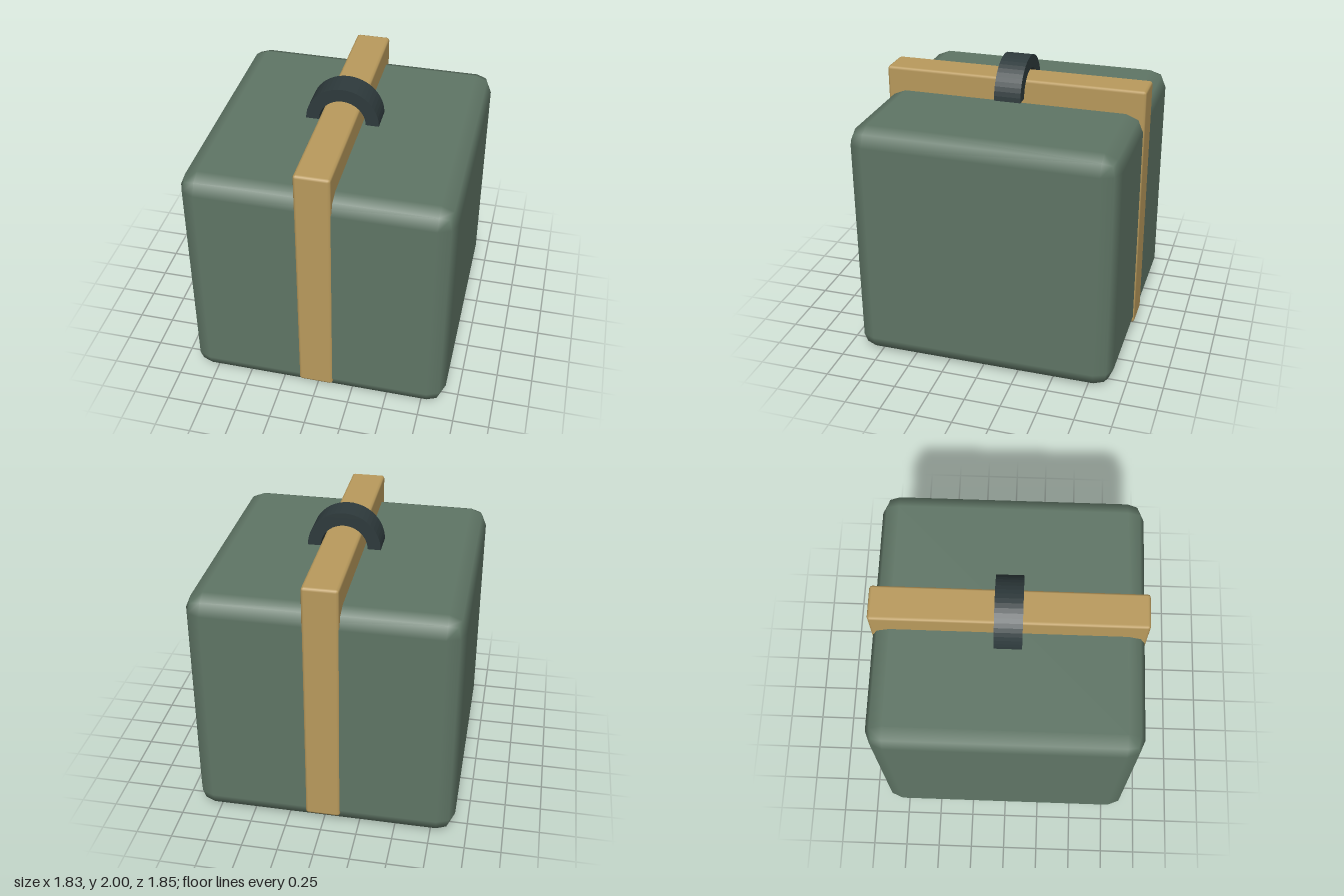
import * as THREE from 'three';
import { RoundedBoxGeometry } from 'three/addons/geometries/RoundedBoxGeometry.js';

export function createModel() {
  const model = new THREE.Group();
  model.name = 'strappedCrate';

  const add = (name, geometry, color, y) => {
    const mesh = new THREE.Mesh(geometry, new THREE.MeshStandardMaterial({ color }));
    mesh.name = name;
    mesh.position.y = y;
    model.add(mesh);
  };

  // Body: cube with coarse rounded edges
  add('body', new RoundedBoxGeometry(1.825, 1.7, 1.825, 1, 0.12), 0x5f7565, 0.85);

  // Strap: upright slab through the body, standing proud at front, back and top
  add('strap', new RoundedBoxGeometry(0.244, 1.798, 1.846, 1, 0.02), 0xb99a5c, 0.968);

  // Handle: flat-sided half ring arching over the strap
  const arch = new THREE.Shape();
  arch.absarc(0, 0, 0.253, 0, Math.PI, false);
  arch.absarc(0, 0, 0.162, Math.PI, 0, true);
  arch.closePath();
  const width = 0.186;
  const handle = new THREE.ExtrudeGeometry(arch, { depth: width, bevelEnabled: false, curveSegments: 12 });
  handle.translate(0, 0, -width / 2);
  add('handle', handle, 0x2e3a3c, 1.747);

  return model;
}
